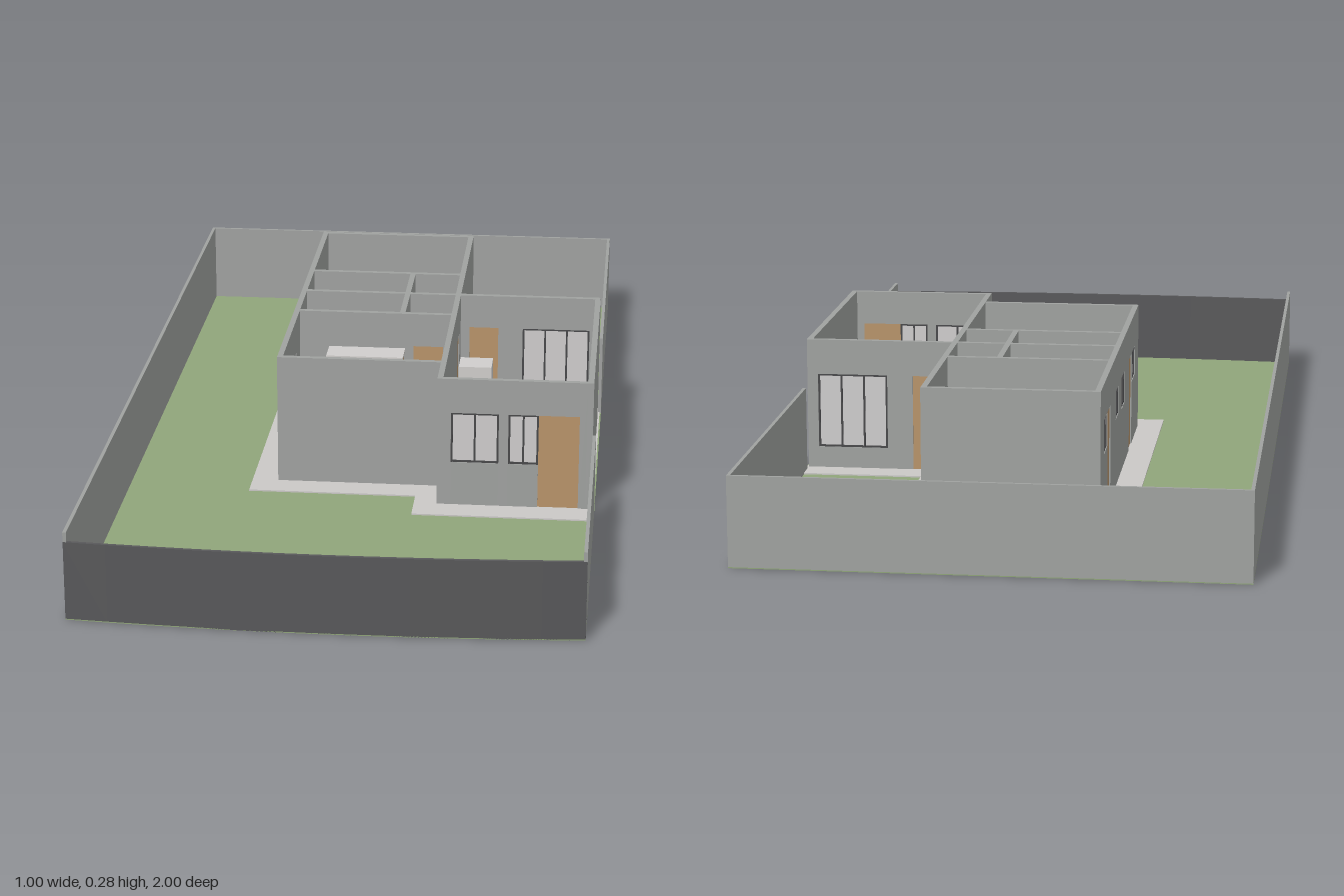
import * as THREE from 'three';

const mat = (name, color) => Object.assign(new THREE.MeshStandardMaterial({ color }), { name });
const M = {
  wall: mat('wall grey', 0xa0a2a0),
  fence: mat('front fence dark', 0x58585a),
  grass: mat('grass green', 0x90a57a),
  paving: mat('paving light grey', 0xcac8c6),
  wood: mat('wood', 0xb8946a),
  frame: mat('frame dark', 0x48484a),
  pane: mat('pane light', 0xcfcdcd),
  counter: mat('counter dark grey', 0x5c5c60),
  linen: mat('linen white', 0xd0cecc),
};
const H = 0.285, T = 0.012, HEAD = 0.21, FLOOR = 0.005;

// Box given by its lower and upper corners
function box(parent, name, m, x0, x1, y0, y1, z0, z1) {
  const mesh = new THREE.Mesh(new THREE.BoxGeometry(x1 - x0, y1 - y0, z1 - z0), m);
  mesh.position.set((x0 + x1) / 2, (y0 + y1) / 2, (z0 + z1) / 2);
  mesh.name = name;
  parent.add(mesh);
  return mesh;
}

// Flat plan outline ([x, z] points) raised from y0 to y1
function slab(parent, name, m, pts, y0, y1) {
  const shape = new THREE.Shape(pts.map(([x, z]) => new THREE.Vector2(x, -z)));
  const geo = new THREE.ExtrudeGeometry(shape, { depth: y1 - y0, bevelEnabled: false });
  const mesh = new THREE.Mesh(geo.rotateX(-Math.PI / 2), m);
  mesh.position.y = y0;
  mesh.name = name;
  parent.add(mesh);
}

// Straight wall along 'x' or 'z', centred on c, with openings {a, b, sill, panes} (panes 0 = door, -1 = open)
function wall(parent, name, axis, c, from, to, openings = []) {
  const g = new THREE.Group();
  g.name = name;
  parent.add(g);
  const piece = (label, m, a, b, y0, y1, t) => {
    if (b - a < 0.001 || y1 - y0 < 0.001) return;
    if (axis === 'x') box(g, label, m, a, b, y0, y1, c - t / 2, c + t / 2);
    else box(g, label, m, c - t / 2, c + t / 2, y0, y1, a, b);
  };
  let u = from;
  for (const { a, b, sill = 0, panes = 0 } of openings) {
    piece('wallSection', M.wall, u, a, 0, H, T);
    piece('lintel', M.wall, a, b, HEAD, H, T);
    piece('sillWall', M.wall, a, b, 0, sill, T);
    if (panes === 0) piece('door', M.wood, a, b, FLOOR, HEAD, 0.007);
    if (panes > 0) {
      const f = 0.004, y0 = Math.max(sill, FLOOR);
      piece('windowPane', M.pane, a, b, y0, HEAD, 0.004);
      for (let i = 0; i <= panes; i++) {
        const p = a + f / 2 + (b - a - f) * i / panes;
        piece('windowFrame', M.frame, p - f / 2, p + f / 2, y0, HEAD, 0.009);
      }
      piece('windowFrame', M.frame, a + f, b - f, y0, y0 + f, 0.008);
      piece('windowFrame', M.frame, a + f, b - f, HEAD - f, HEAD, 0.008);
    }
    u = b;
  }
  piece('wallSection', M.wall, u, to, 0, H, T);
}

export function createModel() {
  const model = new THREE.Group();
  model.name = 'houseOnLot';

  // Lot with a gently bowed front edge
  const bow = (x) => 1 - 0.08 * x * x;
  const xs = Array.from({ length: 13 }, (_, i) => -0.5 + i / 12);
  slab(model, 'lawn', M.grass, [[-0.5, -1], ...xs.map((x) => [x, bow(x)]), [0.5, -1]], 0, 0.002);
  slab(model, 'paving', M.paving, [
    [-0.235, -0.72], [0.24, -0.72], [0.24, -0.28], [0.497, -0.28],
    [0.497, 0.4], [0.12, 0.4], [0.12, 0.3], [-0.235, 0.3],
  ], 0.001, FLOOR);

  // Boundary walls
  const F = 0.007;
  box(model, 'rightBoundary', M.wall, -0.5, -0.5 + F, 0, 0.182, -1, 0.98);
  box(model, 'leftBoundaryRear', M.wall, 0.5 - F, 0.5, 0, 0.182, -1, -0.24);
  box(model, 'leftBoundaryFront', M.wall, 0.5 - F, 0.5, 0, 0.182, 0.37, 0.98);
  box(model, 'rearBoundary', M.wall, -0.5 + F, 0.5 - F, 0, 0.182, -1, -1 + F);
  slab(model, 'frontFence', M.fence, [
    ...xs.map((x) => [x, bow(x)]), ...xs.slice().reverse().map((x) => [x, bow(x) - F]),
  ], 0, 0.162);

  // Bedroom wing: outer walls
  const house = new THREE.Group();
  house.name = 'house';
  model.add(house);
  wall(house, 'rightWall', 'z', -0.174, -0.66, 0.24, [
    { a: -0.59, b: -0.515, sill: 0.14, panes: 2 }, { a: -0.51, b: -0.445 },
    { a: -0.325, b: -0.26, sill: 0.15, panes: 2 }, { a: -0.187, b: -0.115, sill: 0.14, panes: 2 },
    { a: 0, b: 0.063 }, { a: 0.07, b: 0.15, sill: 0.145, panes: 2 },
  ]);
  wall(house, 'rearWall', 'x', -0.654, -0.168, 0.168);
  wall(house, 'bedroomFrontWall', 'x', 0.234, -0.168, 0.168);
  wall(house, 'middleWall', 'z', 0.174, -0.66, 0.34, [{ a: -0.17, b: -0.105 }]);

  // Bedroom wing: partitions
  wall(house, 'rearBedroomPartition', 'x', -0.36, -0.168, 0.168, [{ a: 0.085, b: 0.15 }]);
  wall(house, 'bathPartition', 'x', -0.215, -0.168, 0.168, [{ a: 0.085, b: 0.15, panes: -1 }]);
  wall(house, 'frontBedroomPartition', 'x', -0.075, -0.168, 0.168, [{ a: 0.085, b: 0.15 }]);
  wall(house, 'rearBathSideWall', 'z', 0.06, -0.354, -0.221, [{ a: -0.3, b: -0.24 }]);
  wall(house, 'frontBathSideWall', 'z', 0.06, -0.209, -0.081, [{ a: -0.16, b: -0.1 }]);

  // Living wing
  wall(house, 'livingFrontWall', 'x', 0.334, 0.18, 0.481, [
    { a: 0.197, b: 0.297, sill: 0.1, panes: 2 },
    { a: 0.317, b: 0.38, sill: 0.1, panes: 2 }, { a: 0.38, b: 0.465 },
  ]);
  wall(house, 'livingRearWall', 'x', -0.216, 0.18, 0.481, [
    { a: 0.2, b: 0.265 }, { a: 0.32, b: 0.47, sill: 0.05, panes: 3 },
  ]);
  wall(house, 'livingLeftWall', 'z', 0.487, -0.222, 0.34);

  // Furniture
  const rooms = new THREE.Group();
  rooms.name = 'furniture';
  model.add(rooms);
  box(rooms, 'frontBedBase', M.wood, -0.07, 0.07, FLOOR, 0.035, 0.04, 0.228);
  box(rooms, 'frontMattress', M.linen, -0.065, 0.065, 0.035, 0.055, 0.045, 0.228);
  box(rooms, 'rearBedBase', M.frame, -0.023, 0.166, FLOOR, 0.035, -0.632, -0.492);
  box(rooms, 'rearMattress', M.linen, -0.019, 0.166, 0.035, 0.055, -0.628, -0.496);
  box(rooms, 'wardrobe', M.wood, -0.1, 0.065, FLOOR, 0.2, -0.06, 0);
  box(rooms, 'wardrobeTop', M.linen, -0.102, 0.067, 0.2, 0.207, -0.062, 0.002);
  for (const z of [-0.353, -0.209]) box(rooms, 'bathVanity', M.counter, -0.105, -0.047, FLOOR, 0.09, z, z + 0.047);
  box(rooms, 'kitchenCounter', M.counter, 0.425, 0.481, FLOOR, 0.095, -0.187, -0.01);
  box(rooms, 'sink', M.pane, 0.432, 0.475, 0.095, 0.098, -0.147, -0.102);
  box(rooms, 'fridge', M.linen, 0.19, 0.262, FLOOR, 0.19, -0.063, 0);

  // Sofa
  box(rooms, 'sofaSeat', M.wall, 0.208, 0.275, FLOOR, 0.045, 0.075, 0.255);
  box(rooms, 'sofaBack', M.wall, 0.19, 0.208, FLOOR, 0.085, 0.06, 0.27);
  for (const z of [0.06, 0.255]) box(rooms, 'sofaArm', M.wall, 0.208, 0.275, FLOOR, 0.06, z, z + 0.015);

  // Sideboard and wall screen
  box(rooms, 'sideboard', M.wood, 0.44, 0.481, FLOOR, 0.06, 0.065, 0.22);
  box(rooms, 'screen', M.frame, 0.476, 0.481, 0.105, 0.18, 0.08, 0.205);

  return model;
}
